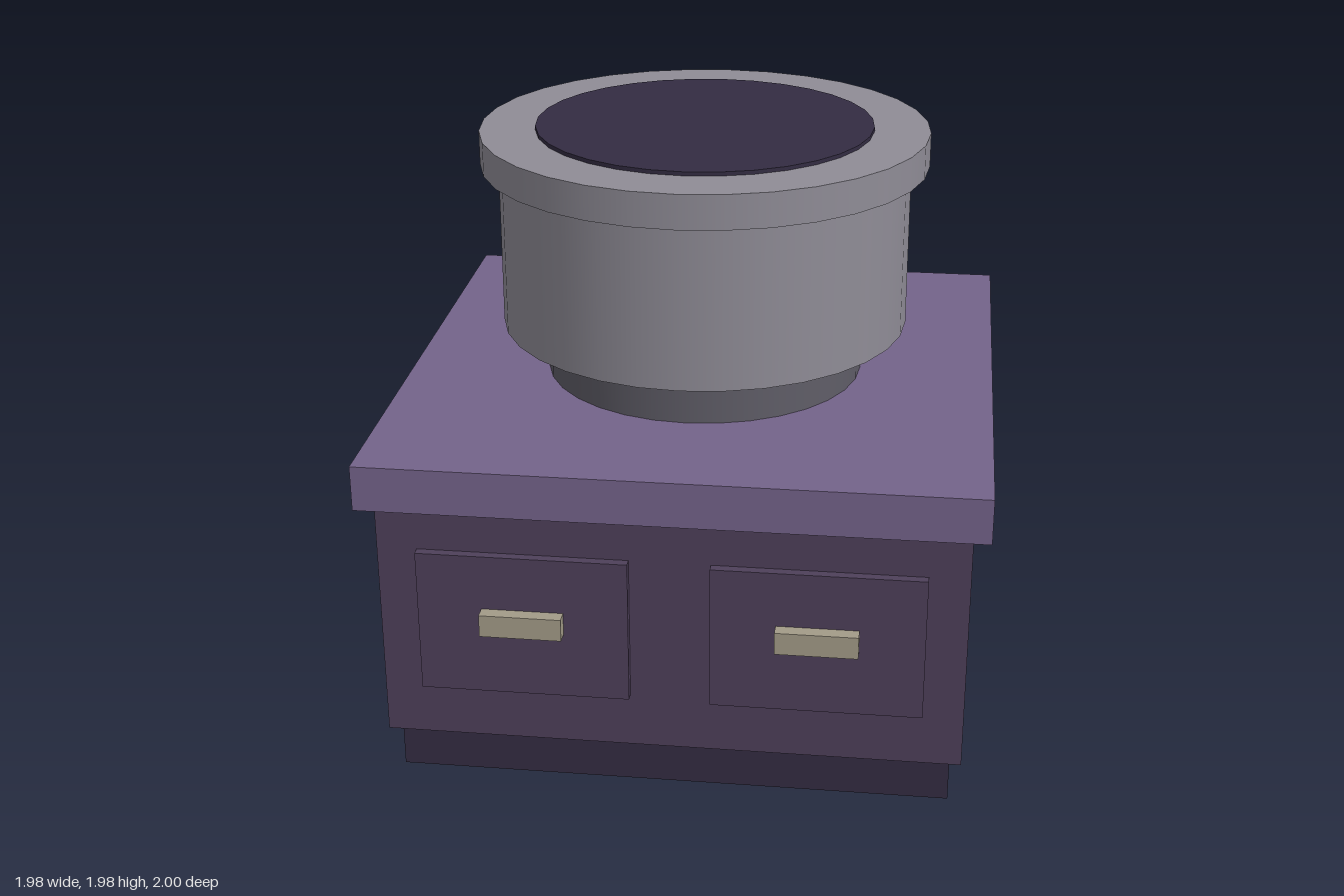
import * as THREE from 'three';

const mat = (name, color) => {
  const m = new THREE.MeshStandardMaterial({ color });
  m.name = name;
  return m;
};

export function createModel() {
  const group = new THREE.Group();
  const darkPurple = mat('dark purple', 0x332c42);
  const purple = mat('purple', 0x4e405a);
  const lightPurple = mat('light purple', 0x74638a);
  const grey = mat('grey', 0x8f8c96);
  const darkGrey = mat('dark grey', 0x5f5d67);
  const brass = mat('pale brass', 0xa39b88);
  const cz = -0.01; // cabinet centre in z

  const add = (name, geometry, material, x, y, z) => {
    const mesh = new THREE.Mesh(geometry, material);
    mesh.name = name;
    mesh.position.set(x, y, z);
    group.add(mesh);
  };
  // Square block centred on the cabinet axis
  const block = (name, half, y0, y1, material) =>
    add(name, new THREE.BoxGeometry(half * 2, y1 - y0, half * 2), material, 0, (y0 + y1) / 2, cz);
  // Round tier on the same axis
  const tier = (name, radius, y0, y1, material) =>
    add(name, new THREE.CylinderGeometry(radius, radius, y1 - y0, 32), material, 0, (y0 + y1) / 2, cz);

  // Cabinet
  block('plinth', 0.897, 0, 0.155, darkPurple);
  block('cabinetBody', 0.934, 0.155, 0.975, purple);
  block('counterTop', 0.988, 0.975, 1.125, lightPurple);

  // Drawers and handles
  for (const [side, s] of [['left', 1], ['right', -1]]) {
    add(side + 'Drawer', new THREE.BoxGeometry(0.675, 0.485, 0.04), purple, s * 0.467, 0.582, 0.935);
    add(side + 'Handle', new THREE.BoxGeometry(0.262, 0.075, 0.045), brass, s * 0.467, 0.602, 0.9775);
  }

  // Round vessel on top
  tier('neck', 0.536, 1.125, 1.3, darkGrey);
  tier('drum', 0.685, 1.3, 1.85, grey);
  tier('rim', 0.745, 1.85, 1.963, grey);
  tier('opening', 0.56, 1.955, 1.976, darkPurple);

  return group;
}
